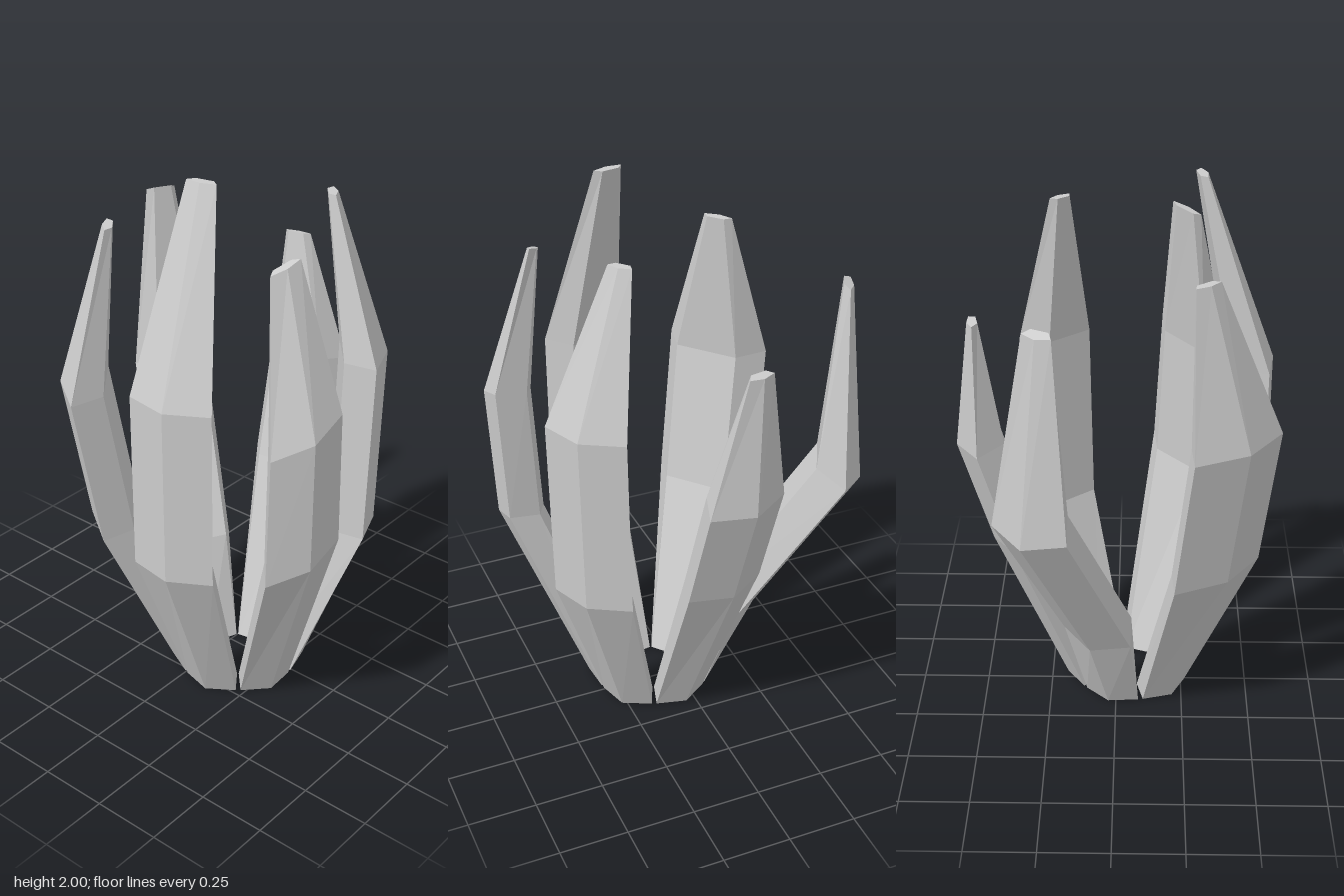
import * as THREE from 'three';

// Pentagonal cross-sections as [sideways, outward], inner edge first and last
const SECTIONS = [
  [[-0.06, 0.11], [-0.105, 0.2], [0, 0.247], [0.105, 0.2], [0.06, 0.11]],
  [[-0.095, 0.36], [-0.155, 0.465], [0, 0.52], [0.155, 0.465], [0.095, 0.36]],
  [[-0.095, 0.36], [-0.155, 0.465], [0, 0.52], [0.155, 0.465], [0.095, 0.36]],
  [[-0.033, 0.225], [-0.055, 0.248], [0, 0.26], [0.055, 0.248], [0.033, 0.225]],
];
const CENTRE = [0.08, 0.055];

// Each shard: heading in degrees, then [height, outward shift, sideways shift, width] for
// the lower bend, upper bend and tip; the tilts slope the sections outward and sideways
const SHARDS = [
  { name: 'frontShard', angle: 11, levels: [[0.65, 0, 0, 1], [1.3, 0, 0, 1], [2, 0, 0, 1]] },
  { name: 'leftFrontShard', angle: 68, levels: [[0.73, 0.045, -0.03, 0.92], [1.23, 0.07, -0.04, 0.86], [1.775, 0.15, -0.05, 1]], sideTilt: 0.35 },
  { name: 'leftBackShard', angle: 131, levels: [[0.62, -0.02, 0, 1], [1.3, 0, 0, 1], [1.865, 0.075, 0.065, 0.8]] },
  { name: 'backShard', angle: 192, levels: [[0.65, 0, 0, 1], [1.05, 0.12, 0, 1], [1.535, 0.33, 0.05, 0.9]], tilt: -0.2 },
  { name: 'rightBackShard', angle: 242, levels: [[0.32, -0.13, 0.04, 0.9], [0.93, 0.245, -0.005, 0.95], [1.67, 0.44, 0.03, 1]], tilt: -0.5 },
  { name: 'rightFrontShard', angle: 310, levels: [[0.65, 0.015, 0, 1.3], [1.19, 0.105, 0, 1.3], [1.755, 0.2, -0.05, 1]] },
];

function shardGeometry({ angle, levels, tilt = 0, sideTilt = 0 }, index) {
  const rings = SECTIONS.map((section, k) => {
    const base = k === 0;
    const a = THREE.MathUtils.degToRad(base ? 10 + index * 60 : angle);
    const [y, out, side, wide] = base ? [0, 0, 0, 1] : levels[k - 1];
    const middle = section[2][1];
    return section.map(([u0, w0]) => {
      const u = u0 * wide + side;
      const w = w0 + out;
      return [
        CENTRE[0] + u * Math.cos(a) + w * Math.sin(a),
        base ? 0 : y + (w0 - middle) * tilt + u0 * sideTilt,
        CENTRE[1] - u * Math.sin(a) + w * Math.cos(a),
      ];
    });
  });

  const positions = [];
  const tri = (...corners) => corners.forEach((p) => positions.push(...p));
  // Sides, open at the foot
  for (let k = 0; k < rings.length - 1; k++) {
    const [lo, hi] = [rings[k], rings[k + 1]];
    for (let i = 0; i < 5; i++) {
      const j = (i + 1) % 5;
      tri(lo[i], lo[j], hi[j]);
      tri(lo[i], hi[j], hi[i]);
    }
  }
  // Tip cap
  const tip = rings[3];
  for (let i = 1; i < 4; i++) tri(tip[0], tip[i], tip[i + 1]);

  const geometry = new THREE.BufferGeometry();
  geometry.setAttribute('position', new THREE.Float32BufferAttribute(positions, 3));
  geometry.computeVertexNormals();
  return geometry;
}

export function createModel() {
  const group = new THREE.Group();
  group.name = 'shardCluster';
  const material = new THREE.MeshStandardMaterial({ color: 0xcccccc, flatShading: true, side: THREE.DoubleSide });
  SHARDS.forEach((shard, i) => {
    const mesh = new THREE.Mesh(shardGeometry(shard, i), material);
    mesh.name = shard.name;
    group.add(mesh);
  });
  return group;
}
